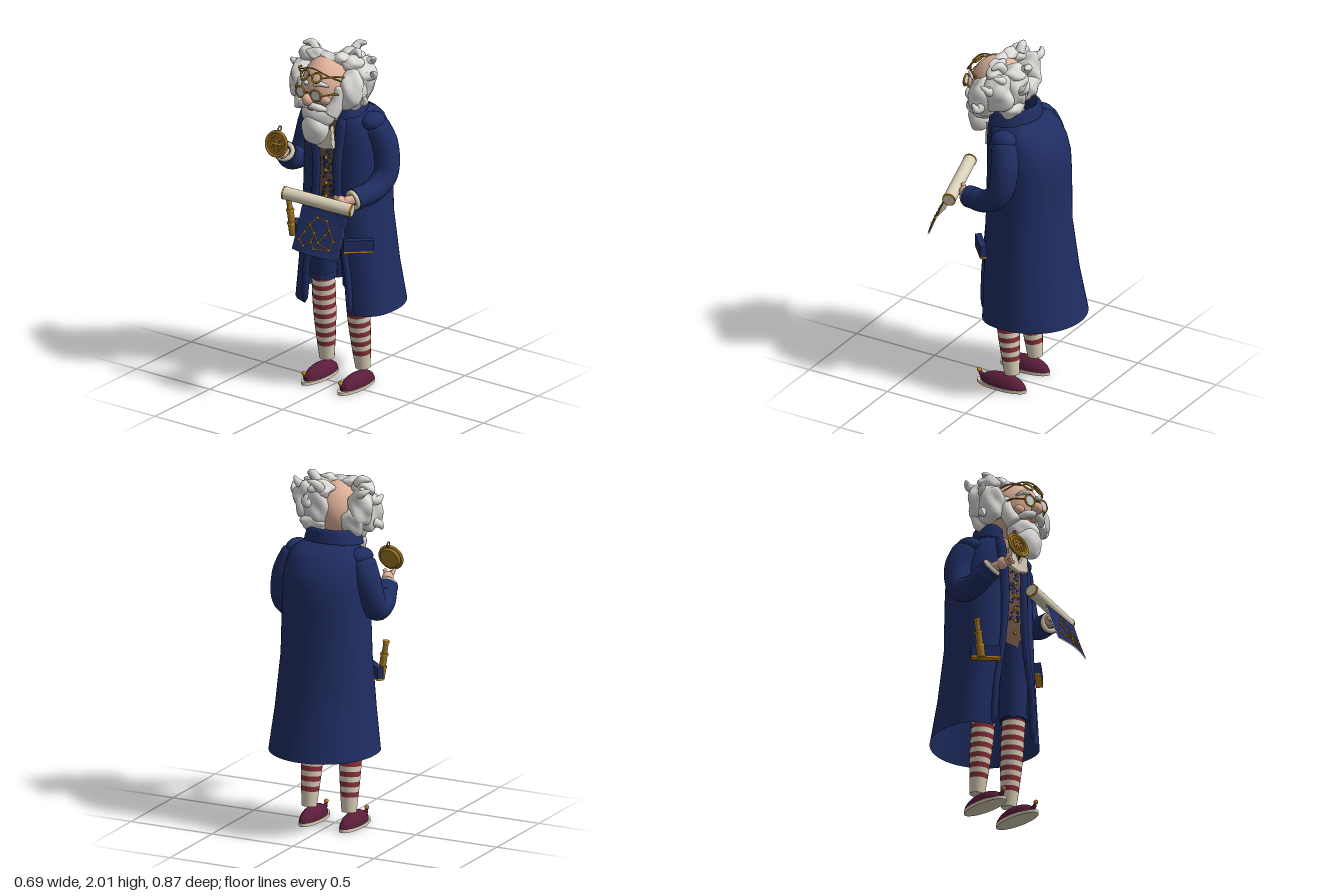
import * as THREE from 'three';

const mat = (name, color, extra = {}) => Object.assign(new THREE.MeshStandardMaterial({ color, ...extra }), { name });
const V = (x, y, z) => new THREE.Vector3(x, y, z);

export function createModel() {
  const root = new THREE.Group();
  const navy = mat('navy cloth', 0x1f2d62, { side: THREE.DoubleSide });
  const skin = mat('skin', 0xdfb29a);
  const white = mat('white hair', 0xdcdbd8);
  const brass = mat('brass', 0x9a7424);
  const gold = mat('gold', 0xc98a14);
  const cream = mat('cream', 0xd9cfb8, { side: THREE.DoubleSide });
  const red = mat('stocking red', 0x8a303c);
  const maroon = mat('shoe maroon', 0x5a1d3a);
  const brown = mat('waistcoat brown', 0x6b5244, { side: THREE.DoubleSide });
  const glass = mat('lens glass', 0xcdd3d6);

  const add = (name, geo, m, pos = [0, 0, 0], rot = [0, 0, 0], scale = [1, 1, 1]) => {
    const mesh = new THREE.Mesh(geo, m);
    mesh.name = name;
    mesh.position.set(...pos);
    mesh.rotation.set(...rot);
    mesh.scale.set(...scale);
    root.add(mesh);
    return mesh;
  };
  const ball = (name, m, pos, scale, seg = 20) => add(name, new THREE.SphereGeometry(1, seg, seg * 0.7 | 0), m, pos, [0, 0, 0], scale);

  // Ellipsoid with soft lumps
  const lump = (name, m, pos, s, amp = 0.1, seed = 0) => {
    const g = new THREE.SphereGeometry(1, 28, 20), p = g.attributes.position;
    for (let i = 0; i < p.count; i++) {
      const v = V().fromBufferAttribute(p, i);
      const k = 1 + amp * (Math.sin(4 * v.x + seed) * Math.cos(5 * v.y + seed) + Math.sin(5 * v.z + 3 * v.y + seed));
      p.setXYZ(i, v.x * k * s[0], v.y * k * s[1], v.z * k * s[2]);
    }
    g.computeVertexNormals();
    return add(name, g, m, pos);
  };

  // Tube with changing radius and rounded ends
  const limb = (name, m, pts, radii, n = 28, sides = 14) => {
    const curve = new THREE.CatmullRomCurve3(pts.map(p => V(...p)));
    const g = new THREE.TubeGeometry(curve, n, 1, sides), p = g.attributes.position;
    for (let i = 0; i <= n; i++) {
      const t = i / n, c = curve.getPointAt(t), f = t * (radii.length - 1), a = Math.min(f | 0, radii.length - 2);
      const e = Math.max(0, Math.abs(2 * t - 1) - 0.85) / 0.15;
      const r = THREE.MathUtils.lerp(radii[a], radii[a + 1], f - a) * Math.sqrt(Math.max(0, 1 - e * e));
      for (let j = 0; j <= sides; j++) {
        const k = i * (sides + 1) + j, v = V().fromBufferAttribute(p, k).sub(c).multiplyScalar(r).add(c);
        p.setXYZ(k, v.x, v.y, v.z);
      }
    }
    g.computeVertexNormals();
    return add(name, g, m);
  };

  // Cylinder between two points
  const rod = (name, m, a, b, r1, r2 = r1, sides = 20) => {
    const A = V(...a), B = V(...b), d = B.clone().sub(A);
    const mesh = add(name, new THREE.CylinderGeometry(r2, r1, d.length(), sides), m);
    mesh.position.copy(A).add(B).multiplyScalar(0.5);
    mesh.quaternion.setFromUnitVectors(V(0, 1, 0), d.normalize());
    return mesh;
  };

  // Garment wall: rows of [y, halfWidth, back, front, gap], round behind and squarer in front
  const garment = (name, m, rows, zc, tilt = 0, n = 48) => {
    const pos = [], idx = [], P = 2 / 3;
    rows.forEach(([y, hx, back, front, gap], r) => {
      const a0 = Math.asin(Math.pow(gap / hx, 1 / P));
      for (let i = 0; i <= n; i++) {
        const a = a0 + (2 * Math.PI - 2 * a0) * i / n, s = Math.sin(a), c = Math.cos(a), q = c > 0 ? P : 1;
        const z = zc + (c > 0 ? (front - zc) * Math.pow(c, q) : (zc - back) * c);
        pos.push(hx * Math.sign(s) * Math.pow(Math.abs(s), q), y - tilt * z, z);
        if (r && i < n) {
          const k = r * (n + 1) + i, b = k - n - 1;
          idx.push(b, b + 1, k, b + 1, k + 1, k);
        }
      }
    });
    const g = new THREE.BufferGeometry();
    g.setAttribute('position', new THREE.Float32BufferAttribute(pos, 3));
    g.setIndex(idx);
    g.computeVertexNormals();
    return add(name, g, m);
  };

  // Long coat with rolled front edges and collar
  const coat = [[0.46, 0.305, -0.435, 0.095, 0.155], [0.7, 0.275, -0.38, 0.1, 0.14], [1.0, 0.247, -0.335, 0.1, 0.09],
    [1.3, 0.238, -0.335, 0.095, 0.07], [1.42, 0.235, -0.328, 0.09, 0.075], [1.5, 0.225, -0.305, 0.085, 0.08],
    [1.57, 0.205, -0.26, 0.08, 0.085], [1.61, 0.175, -0.21, 0.075, 0.09], [1.64, 0.13, -0.14, 0.07, 0.09]];
  garment('coat', navy, coat, -0.13);
  garment('collar', navy, [[1.6, 0.13, -0.13, 0.08, 0.085], [1.69, 0.122, -0.13, 0.08, 0.08],
    [1.7, 0.135, -0.145, 0.09, 0.08], [1.68, 0.148, -0.157, 0.098, 0.085], [1.62, 0.165, -0.165, 0.1, 0.09]], -0.02, 0.15);
  for (const s of [-1, 1]) {
    limb('coat front edge', navy, coat.map(([y, , , f, g]) => [s * g, y, f - 0.005]), [0.02, 0.018, 0.02, 0.03, 0.03], 40);
    ball('shoulder pad', navy, [s * 0.195, 1.57, -0.065], [0.065, 0.052, 0.078]);
    add('pocket flap', new THREE.BoxGeometry(0.165, 0.065, 0.035), navy, [s * 0.205, 0.885, 0.08], [0, s * 0.72, 0]);
    add('pocket trim', new THREE.BoxGeometry(0.165, 0.01, 0.037), gold, [s * 0.205, 0.848, 0.08], [0, s * 0.72, 0]);
  }

  // Waistcoat, pattern patches, buttons and cravat
  garment('waistcoat', brown, [[1.0, 0.13, -0.12, 0.07, 0], [1.15, 0.15, -0.13, 0.095, 0],
    [1.4, 0.15, -0.13, 0.1, 0], [1.58, 0.12, -0.1, 0.07, 0]], -0.03);
  let seed = 7;
  const rnd = () => (seed = (seed * 16807) % 2147483647) / 2147483647;
  for (let i = 0; i < 40; i++) {
    const x = -0.07 + 0.14 * rnd(), y = 1.13 + 0.3 * i / 40;
    add('waistcoat pattern', new THREE.BoxGeometry(0.016 + 0.012 * rnd(), 0.012, 0.008), navy, [x, y, 0.098 - 4 * Math.abs(x) ** 2], [0, x * 5, 0.6]);
  }
  for (let i = 0; i < 6; i++) ball('button', gold, [0, 1.06 + i * 0.075, 0.103], [0.011, 0.011, 0.008], 10);
  const flap = new THREE.Shape([[0, 1.46], [0.055, 1.56], [0.063, 1.44], [0, 1.425], [-0.063, 1.44], [-0.055, 1.56]].map(p => new THREE.Vector2(...p)));
  add('cravat', new THREE.ExtrudeGeometry(flap, { depth: 0.02, bevelSize: 0.005, bevelThickness: 0.005 }), cream, [0, 0, 0.112]);

  // Legs: breeches, striped stockings and curled slippers
  for (const s of [-1, 1]) {
    rod('breeches', navy, [s * 0.115, 0.6, -0.025], [s * 0.09, 1.05, -0.01], 0.074, 0.09);
    rod('breeches band', navy, [s * 0.115, 0.605, -0.025], [s * 0.115, 0.635, -0.024], 0.079);
    const at = t => [s * (0.123 - 0.01 * t), 0.1 + 0.52 * t, -0.07 + 0.05 * t], rad = t => 0.042 + 0.023 * Math.sin(Math.min(1, t * 1.35) * 1.57);
    for (let i = 0; i < 18; i++) {
      rod('stocking stripe', i % 2 && i > 1 ? red : cream, at(i / 18), at((i + 1) / 18), rad(i / 18), rad((i + 1) / 18));
    }
    const x = s * 0.125;
    add('slipper sole', new THREE.CylinderGeometry(1, 1, 0.018, 32), cream, [x, 0.009, -0.005], [0, 0, 0], [0.056, 1, 0.155]);
    add('slipper', new THREE.SphereGeometry(1, 28, 12, 0, Math.PI * 2, 0, Math.PI / 2), maroon, [x, 0.016, -0.015], [0, 0, 0], [0.053, 0.072, 0.143]);
    limb('slipper toe', maroon, [[x, 0.035, 0.04], [x, 0.035, 0.11], [x, 0.06, 0.138]], [0.03, 0.02, 0.008]);
    ball('toe bell', gold, [x, 0.068, 0.138], [0.013, 0.013, 0.013], 12);
  }

  // Sleeves, lace cuffs and hands
  const arm = (pts, hand, tips, thumb) => {
    limb('sleeve', navy, pts, [0.075, 0.08, 0.072, 0.064, 0.06], 36, 18);
    const end = V(...pts[4]), dir = end.clone().sub(V(...pts[3])).normalize();
    const put = (name, g, m, d) => {
      const c = add(name, g, m);
      c.position.copy(end).addScaledVector(dir, d);
      c.quaternion.setFromUnitVectors(V(0, 0, 1), dir);
    };
    put('sleeve cuff', new THREE.CylinderGeometry(0.062, 0.06, 0.06, 20).rotateX(Math.PI / 2), navy, -0.025);
    put('lace cuff', new THREE.TorusGeometry(0.045, 0.013, 10, 24), cream, 0.012);
    rod('wrist', skin, pts[4], hand, 0.026);
    ball('palm', skin, hand, [0.032, 0.036, 0.034]);
    for (const t of tips) limb('finger', skin, [hand, [(hand[0] + t[0]) / 2, (hand[1] + t[1]) / 2 - 0.006, (hand[2] + t[2]) / 2 + 0.012], t], [0.014, 0.013, 0.01], 12, 8);
    limb('thumb', skin, [hand, thumb], [0.014, 0.011], 12, 8);
  };
  arm([[-0.195, 1.57, -0.07], [-0.25, 1.42, -0.09], [-0.275, 1.28, -0.04], [-0.268, 1.28, 0.06], [-0.243, 1.35, 0.15]],
    [-0.215, 1.375, 0.215], [0, 1, 2, 3].map(i => [-0.225 + i * 0.017, 1.415 - i * 0.012, 0.275]), [-0.185, 1.42, 0.23]);
  arm([[0.195, 1.57, -0.07], [0.25, 1.42, -0.1], [0.272, 1.27, -0.075], [0.26, 1.2, 0.02], [0.225, 1.18, 0.14]],
    [0.175, 1.17, 0.2], [0, 1, 2, 3].map(i => [0.115 + i * 0.02, 1.145, 0.235]), [0.15, 1.21, 0.23]);

  // Brass compass
  const compass = new THREE.Group();
  compass.name = 'compass';
  const part = (name, g, m) => { const o = new THREE.Mesh(g, m); o.name = name; compass.add(o); return o; };
  part('compass case', new THREE.CylinderGeometry(0.068, 0.055, 0.024, 32).rotateX(Math.PI / 2), brass);
  part('compass rim', new THREE.TorusGeometry(0.067, 0.009, 10, 36), brass).position.z = 0.01;
  part('compass inner ring', new THREE.TorusGeometry(0.042, 0.004, 6, 28), gold).position.z = 0.014;
  for (let i = 0; i < 8; i++) {
    const ray = part('compass ray', new THREE.ConeGeometry(0.009, i % 2 ? 0.04 : 0.058, 4).translate(0, 0.03, 0), i % 2 ? brown : gold);
    ray.rotation.z = i * Math.PI / 4;
    ray.scale.z = 0.4;
    ray.position.z = 0.014;
  }
  part('compass loop', new THREE.TorusGeometry(0.014, 0.004, 8, 16).rotateY(Math.PI / 2), brass).position.y = 0.086;
  compass.position.set(-0.185, 1.46, 0.3);
  compass.rotation.x = -0.25;
  root.add(compass);

  // Rolled map with hanging star chart
  const A = [-0.11, 1.203, 0.34], B = [0.278, 1.157, 0.24], lerp = (t) => A.map((a, i) => a + (B[i] - a) * t);
  rod('map roll', cream, A, B, 0.036);
  for (const [t, u] of [[-0.008, 0.012], [0.988, 1.008]]) rod('map roll rim', gold, lerp(t), lerp(u), 0.038);
  for (const [t, u] of [[-0.012, 0], [1, 1.012]]) rod('map roll core', cream, lerp(t), lerp(u), 0.031);
  const sheet = (u, v, off = 0) => V(0.01 + 0.265 * u, 1.16 - 0.03 * u - 0.23 * v + off * 0.35,
    0.335 - 0.05 * u + 0.095 * v - 0.015 * v * (1 - v) + 0.02 * Math.sin(Math.PI * u) * v + off);
  for (const back of [false, true]) {
    const g = new THREE.PlaneGeometry(1, 1, 12, 8), p = g.attributes.position;
    for (let i = 0; i < p.count; i++) {
      const u = p.getX(i) + 0.5, q = sheet(back ? 1 - u : u, 0.5 - p.getY(i), back ? -0.005 : 0);
      p.setXYZ(i, q.x, q.y, q.z);
    }
    g.computeVertexNormals();
    add(back ? 'chart back' : 'chart face', g, back ? cream : navy);
  }
  const stars = [[0.12, 0.75], [0.25, 0.85], [0.4, 0.72], [0.5, 0.85], [0.82, 0.8], [0.86, 0.6], [0.72, 0.38], [0.62, 0.2],
    [0.4, 0.18], [0.28, 0.38], [0.42, 0.52], [0.56, 0.7], [0.66, 0.5], [0.2, 0.56]].map(([u, v]) => sheet(u, v, 0.004));
  stars.forEach(s => ball('chart star', gold, s.toArray(), [0.008, 0.008, 0.006], 8));
  for (const [a, b] of [[0, 1], [1, 2], [2, 3], [3, 4], [4, 5], [5, 6], [6, 7], [7, 8], [8, 9], [9, 13], [13, 0], [9, 10], [10, 11], [11, 4], [11, 12], [12, 6], [2, 10]])
    rod('chart line', gold, stars[a].toArray(), stars[b].toArray(), 0.003, 0.003, 6);

  // Pocket telescope
  const tel = t => [-0.276 + 0.036 * t, 1.06 - 0.22 * t, 0.08];
  [[0, 0.35, 0.015], [0.35, 0.7, 0.019], [0.7, 1, 0.023], [0, 0.05, 0.019], [0.33, 0.38, 0.023], [0.66, 0.72, 0.026]].forEach(
    ([a, b, r], i) => rod('telescope', i > 2 ? gold : brass, tel(a), tel(b), r));

  // Head, nose, ears of hair, beard and brows
  ball('head', skin, [0, 1.79, 0.08], [0.138, 0.17, 0.165], 32);
  rod('neck', skin, [0, 1.56, -0.01], [0, 1.72, 0.03], 0.075);
  ball('nose', skin, [0, 1.757, 0.272], [0.032, 0.034, 0.033]);
  lump('upper beard', white, [0, 1.645, 0.165], [0.108, 0.075, 0.08], 0.04, 1);
  lump('lower beard', white, [0, 1.565, 0.205], [0.084, 0.09, 0.06], 0.04, 2);
  ball('lip', skin, [0, 1.695, 0.238], [0.025, 0.01, 0.02], 12);
  for (const s of [-1, 1]) {
    ball('cheek', skin, [s * 0.065, 1.75, 0.2], [0.035, 0.03, 0.03]);
    limb('moustache', white, [[0, 1.725, 0.262], [s * 0.05, 1.715, 0.25], [s * 0.1, 1.69, 0.2]], [0.018, 0.022, 0.008]);
    limb('eyebrow', white, [[s * 0.02, 1.835, 0.245], [s * 0.055, 1.85, 0.235], [s * 0.095, 1.83, 0.2]], [0.01, 0.014, 0.005]);
    limb('sideburn', white, [[s * 0.125, 1.82, 0.13], [s * 0.12, 1.73, 0.16], [s * 0.09, 1.66, 0.19]], [0.04, 0.04, 0.05]);
  }

  // Two pairs of spectacles, one worn and one on the forehead
  for (const [y, z, x, r, tilt] of [[1.79, 0.268, 0.052, 0.032, 0], [1.885, 0.243, 0.04, 0.028, -0.6]]) {
    for (const s of [-1, 1]) {
      add('spectacle rim', new THREE.TorusGeometry(r, 0.006, 8, 28), brass, [s * x, y, z], [tilt, s * 0.15, 0]);
      if (!tilt) add('lens', new THREE.CylinderGeometry(r, r, 0.006, 24).rotateX(Math.PI / 2), glass, [s * x, y, z], [0, s * 0.15, 0]);
      limb('spectacle arm', brass, [[s * (x + r), y, z - 0.005], [s * 0.125, y + 0.006, z - 0.06], [s * 0.15, y - 0.012, z - 0.12]], [0.005, 0.005], 16, 8);
    }
    limb('spectacle bridge', brass, [[r - x, y, z], [0, y + 0.012, z + 0.008], [x - r, y, z]], [0.005, 0.005], 12, 8);
  }
  limb('forehead strap', brass, [[-0.145, 1.85, 0.14], [-0.09, 1.9, 0.215], [0, 1.925, 0.225], [0.09, 1.9, 0.215], [0.145, 1.85, 0.14]], [0.004, 0.004], 24, 8);

  // Hair clumps around a bald crown
  [[[0.17, 1.79, 0.09], [0.072, 0.115, 0.085]], [[0.165, 1.83, -0.01], [0.075, 0.115, 0.085]], [[0.08, 1.83, -0.06], [0.075, 0.12, 0.075]],
    [[0.1, 1.73, -0.04], [0.08, 0.06, 0.075]], [[-0.165, 1.79, 0.09], [0.07, 0.115, 0.085]], [[-0.16, 1.83, 0], [0.065, 0.115, 0.08]],
    [[-0.125, 1.75, -0.025], [0.065, 0.08, 0.06]], [[0.06, 1.92, -0.05], [0.07, 0.05, 0.07]], [[0.12, 1.92, 0.03], [0.075, 0.05, 0.06]],
    [[-0.15, 1.92, 0.05], [0.065, 0.05, 0.055]], [[-0.08, 1.943, 0.07], [0.065, 0.033, 0.045]], [[0, 1.945, 0.08], [0.065, 0.028, 0.04]],
    [[0.07, 1.945, 0.055], [0.06, 0.032, 0.045]]].forEach(([c, s], i) => lump('hair clump', white, c, s, 0.1, i * 1.7));
  [[[0.04, 1.93, -0.09], [0.05, 1.97, -0.13], [0.1, 1.985, -0.14]], [[0.15, 1.9, -0.02], [0.2, 1.935, -0.05], [0.24, 1.96, -0.02]],
    [[0.19, 1.86, 0.04], [0.245, 1.87, 0.0], [0.275, 1.91, 0.04]], [[0.2, 1.76, 0.06], [0.245, 1.74, 0.08], [0.262, 1.78, 0.1]],
    [[-0.15, 1.9, -0.02], [-0.2, 1.93, -0.06], [-0.24, 1.95, -0.04]], [[-0.19, 1.86, 0.05], [-0.225, 1.86, 0.07], [-0.245, 1.89, 0.1]],
    [[-0.12, 1.94, 0.03], [-0.15, 1.98, 0.03], [-0.2, 1.975, 0.05]], [[0.1, 1.94, 0.0], [0.14, 1.985, 0.0], [0.18, 1.97, 0.03]],
    [[0.1, 1.84, -0.1], [0.11, 1.87, -0.15], [0.09, 1.91, -0.155]], [[-0.2, 1.74, 0.06], [-0.235, 1.72, 0.08], [-0.24, 1.69, 0.1]]]
    .forEach(p => limb('hair curl', white, p, [0.03, 0.024, 0.008], 18, 10));
  return root;
}
